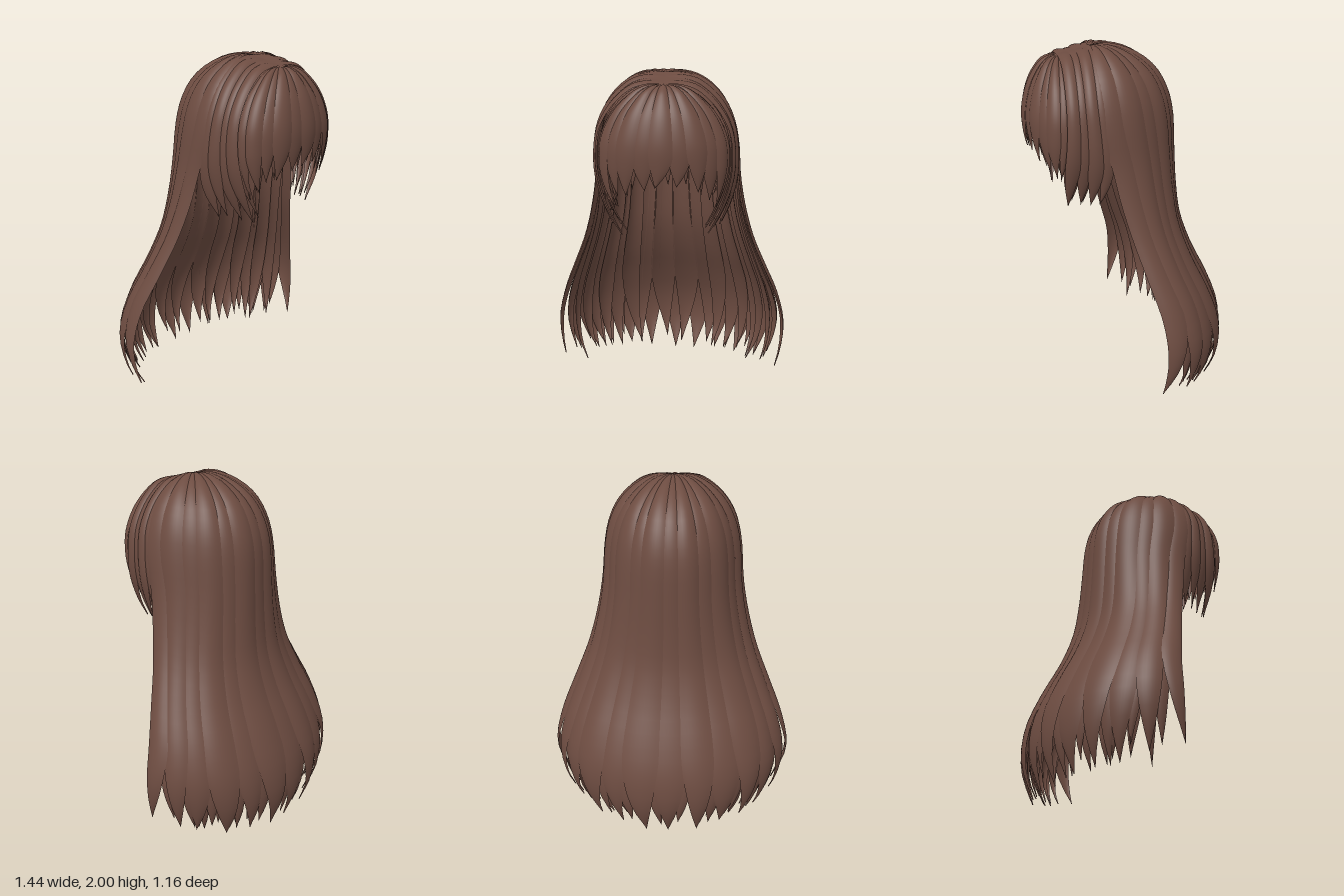
import * as THREE from 'three';

const hair = new THREE.MeshStandardMaterial({ color: 0x6d4c41, side: THREE.DoubleSide });
hair.name = 'brown hair';

// Small seeded generator for natural variation
let seed = 7;
const rand = () => (seed = (seed * 16807) % 2147483647) / 2147483647;
const vary = (amount) => (rand() * 2 - 1) * amount;

const curve = (points) => new THREE.CatmullRomCurve3(
  points.map((p) => new THREE.Vector3(...p)), false, 'catmullrom', 0.5);

// Guide surface swept round the head; rows are [y, half width, z at the sides, z at the middle]
function fan(rows) {
  const side = curve(rows.map(([y, x, z]) => [x, y, z]));
  const middle = curve(rows.map(([y, , , z]) => [0, y, z]));
  return (a, t) => {
    const s = side.getPoint(t), m = middle.getPoint(t);
    return new THREE.Vector3(s.x * Math.sin(a), s.y, s.z + (m.z - s.z) * Math.cos(a));
  };
}

// Guide surface between a rear edge (a = 0) and a front edge (a = 1)
function band(rear, front, sign) {
  const r = curve(rear), f = curve(front);
  return (a, t) => {
    const p = r.getPoint(t).lerp(f.getPoint(t), a);
    p.x *= sign;
    return p;
  };
}

// One lock: a bulged ribbon lying on a guide surface and tapering to a point
function lock(name, surface, {
  a, width, end, taper = 0.78, lift = 0, bulge = 0.012, sway = 0, twist = 0, flare = 0,
}) {
  const NT = 36, NU = 8, e = 0.01;
  const positions = [], index = [];
  for (let i = 0; i <= NT; i++) {
    const k = i / NT;
    const t = k * end;
    const s = Math.max(0, (k - taper) / (1 - taper));
    const half = width * (1 - s ** 1.6) + 0.0005;
    for (let j = 0; j <= NU; j++) {
      const u = (j / NU) * 2 - 1;
      const b = a + u * half + sway * s * s + twist * k;
      const p = surface(b, t);
      const across = surface(b + e, t).sub(surface(b - e, t));
      const along = surface(b, Math.min(1, t + e)).sub(surface(b, Math.max(0, t - e)));
      const n = across.cross(along).normalize();
      const outward = new THREE.Vector3(p.x, Math.max(0, p.y - 1.5), p.z - 0.15);
      if (n.dot(outward) < 0) n.negate();
      const rise = lift + bulge * (1 - u * u) * (1 - s * 0.5) + flare * k * k;
      p.addScaledVector(n, rise * Math.min(1, t * 5));
      positions.push(p.x, p.y, p.z);
      if (i < NT && j < NU) {
        const q = i * (NU + 1) + j, r = q + NU + 1;
        index.push(q, r, q + 1, q + 1, r, r + 1);
      }
    }
  }
  const geometry = new THREE.BufferGeometry();
  geometry.setAttribute('position', new THREE.Float32BufferAttribute(positions, 3));
  geometry.setIndex(index);
  geometry.computeVertexNormals();
  const mesh = new THREE.Mesh(geometry, hair);
  mesh.name = name;
  return mesh;
}

function named(name) {
  const group = new THREE.Group();
  group.name = name;
  return group;
}

export function createModel() {
  seed = 7;
  const model = named('longHair');

  // Long back hair: crown, straight fall, flared ends
  const back = fan([
    [1.985, 0.005, 0.21, 0.205], [1.988, 0.1, 0.2, 0.1], [1.945, 0.2, 0.2, -0.03],
    [1.855, 0.295, 0.2, -0.15], [1.74, 0.355, 0.2, -0.22], [1.6, 0.385, 0.19, -0.255],
    [1.4, 0.4, 0.14, -0.265], [1.2, 0.435, 0.1, -0.275], [1.0, 0.49, 0.05, -0.3],
    [0.8, 0.57, -0.01, -0.37], [0.6, 0.65, -0.07, -0.47], [0.4, 0.695, -0.085, -0.55],
    [0.2, 0.67, -0.06, -0.565], [0.0, 0.59, -0.02, -0.5],
  ]);
  const backHair = named('backHair');
  const count = 13, reach = 1.49;
  for (let i = 0; i < count; i++) {
    const a = ((i / (count - 1)) * 2 - 1) * reach;
    const edge = Math.abs(a) / reach;
    const end = 1 - 0.05 * edge ** 2;
    const outermost = edge > 0.95;
    backHair.add(lock('backLock', back, {
      a, width: 0.14 + rand() * 0.03, end: end - rand() * 0.015,
      taper: 0.79 + vary(0.04), lift: (i % 2) * 0.008,
      sway: outermost ? 0.08 * Math.sign(a) : vary(0.07), flare: outermost ? 0.022 : 0,
    }));
    // Narrower lock under each seam
    if (i < count - 1) {
      backHair.add(lock('seamLock', back, {
        a: a + reach / (count - 1), width: 0.13, end: end - rand() * 0.03,
        taper: 0.76 + vary(0.05), lift: -0.01, sway: vary(0.08),
      }));
    }
  }
  model.add(backHair);

  // Under layer hanging just inside, leaving the middle of the back open
  const inner = fan([
    [1.86, 0.26, 0.17, -0.1], [1.7, 0.33, 0.17, -0.18], [1.5, 0.355, 0.15, -0.225],
    [1.2, 0.39, 0.08, -0.245], [1.0, 0.44, 0.03, -0.27], [0.8, 0.51, -0.03, -0.33],
    [0.6, 0.58, -0.09, -0.42], [0.4, 0.62, -0.12, -0.49], [0.2, 0.61, -0.11, -0.51],
    [0.03, 0.54, -0.07, -0.45],
  ]);
  const underHair = named('underHair');
  for (const sign of [-1, 1]) {
    for (let i = 0; i < 6; i++) {
      underHair.add(lock('underLock', inner, {
        a: sign * (0.65 + i * 0.17), width: 0.12, end: 0.985 - rand() * 0.04,
        taper: 0.68 + vary(0.08), lift: (i % 2) * 0.02, sway: vary(0.06), twist: -sign * 0.18,
      }));
    }
  }
  model.add(underHair);

  // Side locks drape over the top and frame the face
  const rear = [
    [0, 1.985, 0.18], [0.1, 1.98, 0.18], [0.2, 1.94, 0.185], [0.3, 1.848, 0.19], [0.365, 1.72, 0.19],
    [0.39, 1.57, 0.175], [0.392, 1.42, 0.16], [0.365, 1.27, 0.165], [0.31, 1.13, 0.19],
  ];
  const front = [
    [0, 1.945, 0.38], [0.09, 1.935, 0.38], [0.18, 1.9, 0.38], [0.27, 1.815, 0.385], [0.335, 1.7, 0.39],
    [0.355, 1.56, 0.395], [0.34, 1.42, 0.405], [0.285, 1.27, 0.415], [0.2, 1.12, 0.41],
  ];
  for (const sign of [-1, 1]) {
    const sideHair = named(sign > 0 ? 'leftSideHair' : 'rightSideHair');
    const surface = band(rear, front, sign);
    for (let i = 0; i < 4; i++) {
      sideHair.add(lock('sideLock', surface, {
        a: 0.14 + i * 0.24, width: 0.16, end: 0.99 - rand() * 0.03,
        taper: 0.78 + vary(0.04), lift: (i % 2) * 0.008, sway: vary(0.05),
      }));
      sideHair.add(lock('innerSideLock', surface, {
        a: 0.3 + i * 0.22, width: 0.12, end: 0.99 - rand() * 0.06,
        taper: 0.72, lift: -0.025, sway: vary(0.1),
      }));
    }
    model.add(sideHair);
  }

  // Fringe radiating from a parting point, longer towards the temples
  const brow = fan([
    [1.94, 0.005, 0.37, 0.375], [1.925, 0.1, 0.37, 0.43], [1.87, 0.19, 0.37, 0.485],
    [1.78, 0.275, 0.37, 0.535], [1.66, 0.33, 0.375, 0.565], [1.54, 0.34, 0.38, 0.565],
    [1.43, 0.325, 0.39, 0.545], [1.32, 0.29, 0.4, 0.51], [1.2, 0.25, 0.41, 0.48],
  ]);
  const fringe = named('fringe');
  for (let i = 0; i < 11; i++) {
    const a = (i / 10 * 2 - 1) * 1.42;
    const length = 0.75 + 0.16 * (Math.abs(a) / 1.42) ** 2;
    fringe.add(lock('fringeLock', brow, {
      a, width: 0.18, end: length + vary(0.03), taper: 0.72 + vary(0.05),
      lift: (i % 2) * 0.008, bulge: 0.01, sway: vary(0.1),
    }));
    fringe.add(lock('innerFringeLock', brow, {
      a: a * 0.93 + 0.1, width: 0.1, end: length + vary(0.05), taper: 0.66,
      lift: -0.012, bulge: 0.008, sway: vary(0.12),
    }));
  }
  model.add(fringe);

  return model;
}
